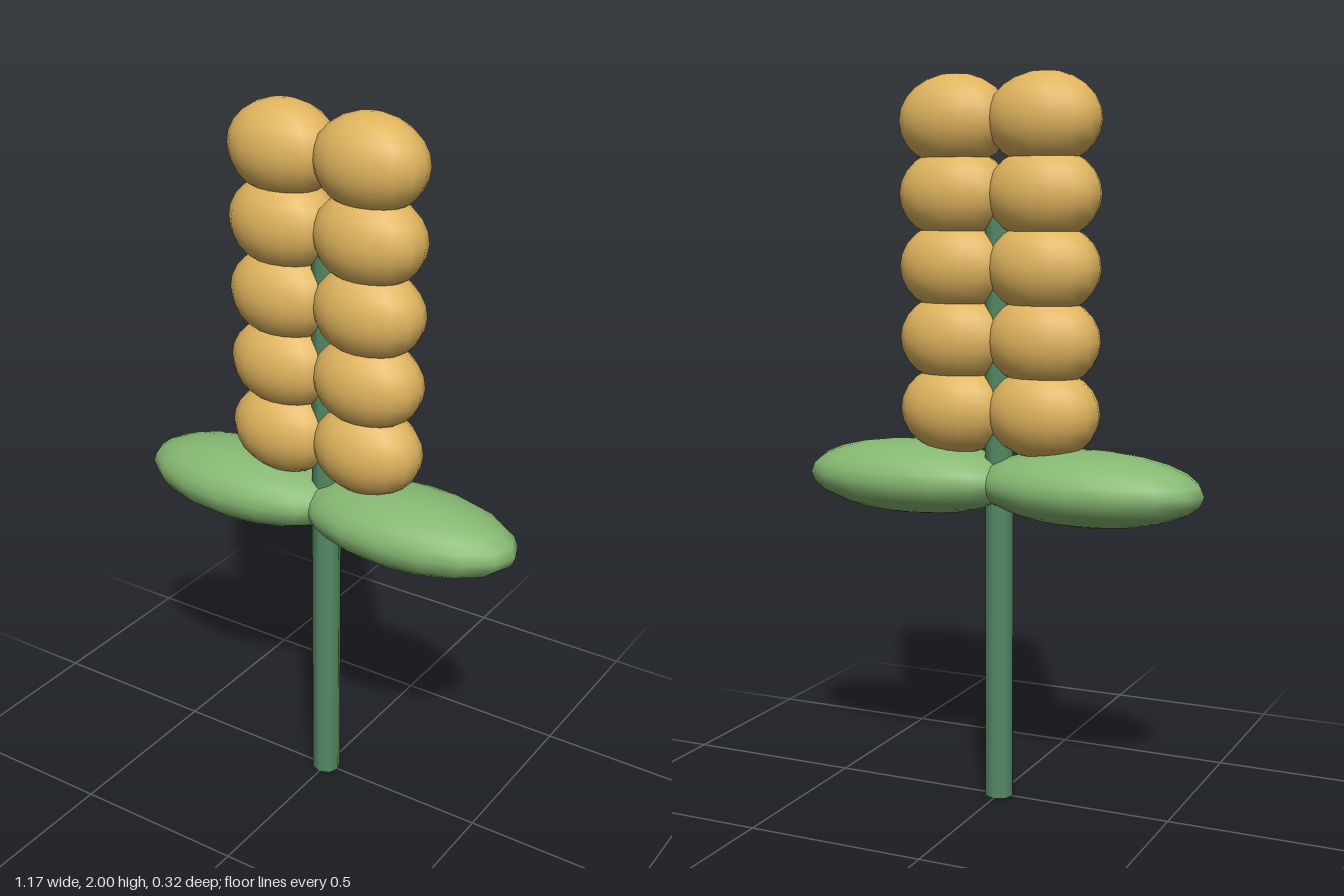
import * as THREE from 'three';

function material(name, color) {
  const m = new THREE.MeshStandardMaterial({ color });
  m.name = name;
  return m;
}

export function createModel() {
  const group = new THREE.Group();
  group.name = 'grainStalk';
  const grainGold = material('grainGold', 0xe0b45e);
  const leafGreen = material('leafGreen', 0x86b872);
  const stemGreen = material('stemGreen', 0x558a64);

  // Stem, ending inside the ear
  const stem = new THREE.Mesh(new THREE.CylinderGeometry(0.041, 0.041, 1.69, 8), stemGreen);
  stem.name = 'stem';
  stem.position.y = 0.845;
  group.add(stem);

  const sphere = new THREE.SphereGeometry(1, 16, 12);
  const ellipsoid = (name, mat, x, y, rx, ry, rz) => {
    const mesh = new THREE.Mesh(sphere, mat);
    mesh.name = name;
    mesh.position.set(x, y, 0);
    mesh.scale.set(rx, ry, rz);
    group.add(mesh);
  };

  for (const [side, s] of [['left', 1], ['right', -1]]) {
    // Leaf, and a column of five grains above it
    ellipsoid(`${side}Leaf`, leafGreen, s * 0.26, 0.898, 0.325, 0.103, 0.162);
    for (let i = 0; i < 5; i++) {
      ellipsoid(`${side}Grain${i + 1}`, grainGold, s * 0.13, 1.094 + i * 0.195, 0.161, 0.126, 0.113);
    }
  }
  return group;
}
